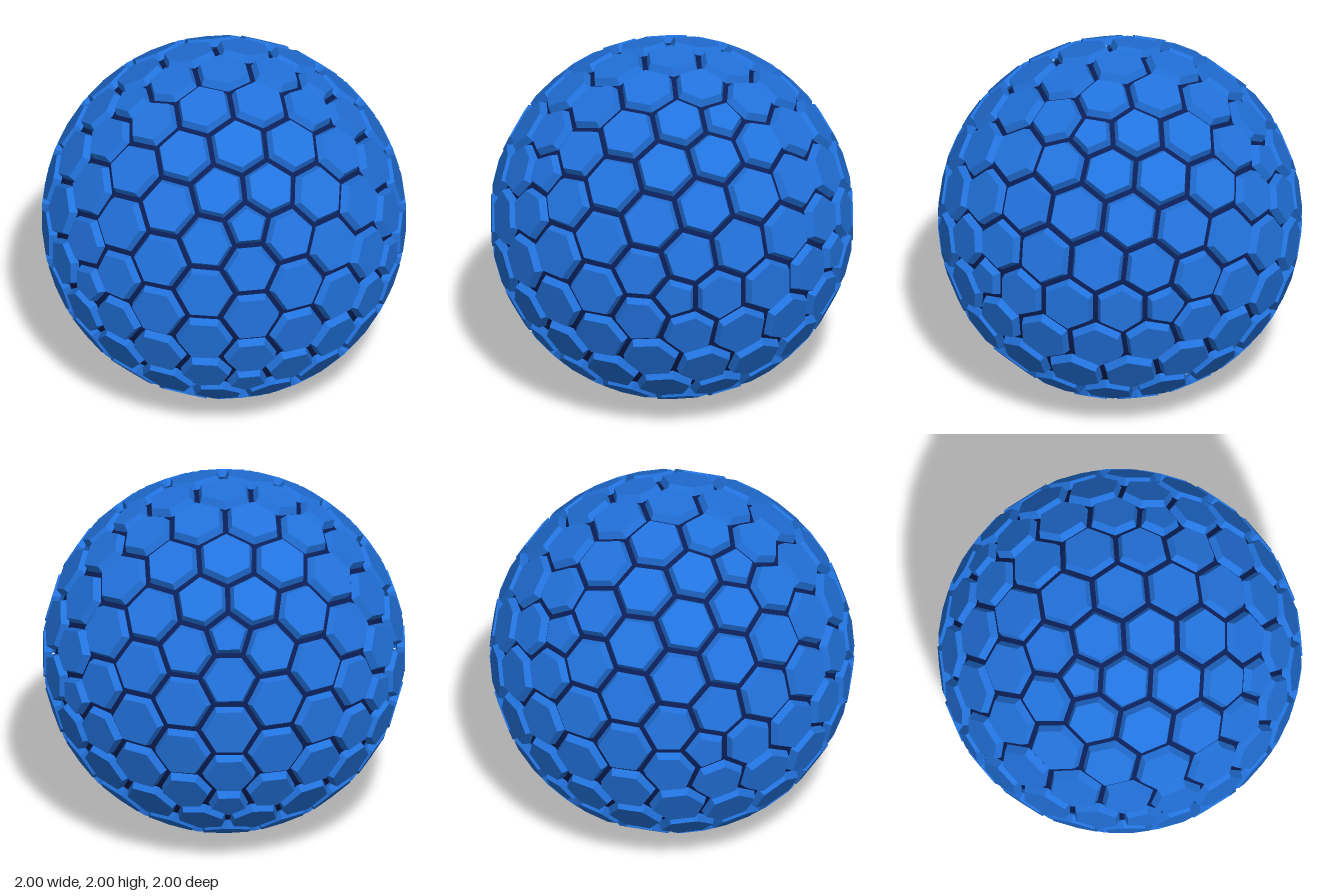
import * as THREE from 'three';

const FREQUENCY = 4;      // cells along each icosahedron edge
const CORNER_RADIUS = 1.014;
const THICKNESS = 0.045;
const GAP = 0.014;        // inset of the plate's foot
const BEVEL = 0.034;      // inset of the plate's flat face

// Gather, for every vertex of a subdivided icosahedron, the centres of its triangles
function findCells() {
  const pos = new THREE.IcosahedronGeometry(1, FREQUENCY - 1).attributes.position;
  const cells = new Map();
  for (let i = 0; i < pos.count; i += 3) {
    const tri = [0, 1, 2].map(k => new THREE.Vector3().fromBufferAttribute(pos, i + k));
    const corner = new THREE.Vector3().add(tri[0]).add(tri[1]).add(tri[2]).normalize();
    for (const v of tri) {
      const key = v.toArray().map(n => Math.round(n * 1000) + 0).join();
      if (!cells.has(key)) cells.set(key, { normal: v.clone().normalize(), corners: [] });
      cells.get(key).corners.push(corner);
    }
  }
  return [...cells.values()];
}

// Sort the corners counter-clockwise as seen from outside
function sortCorners({ normal, corners }) {
  const u = corners[0].clone().projectOnPlane(normal).normalize();
  const v = normal.clone().cross(u);
  const angle = c => Math.atan2(c.dot(v), c.dot(u));
  return [...corners].sort((a, b) => angle(a) - angle(b));
}

// Outline of a cell on the plane at the given height, drawn in by an inset
function outline(normal, corners, height, inset) {
  const centre = normal.clone().multiplyScalar(height);
  const ring = corners.map(c => c.clone().multiplyScalar(height / c.dot(normal)));
  const apothem = ring.reduce((sum, p, i) =>
    sum + p.clone().add(ring[(i + 1) % ring.length]).multiplyScalar(0.5).distanceTo(centre), 0) / ring.length;
  return ring.map(p => p.lerp(centre, inset / apothem));
}

// One bevelled plate: flat face, sloping sides and underside
function addPlate(cell, out) {
  const corners = sortCorners(cell);
  const n = corners.length;
  const top = CORNER_RADIUS * corners.reduce((s, c) => s + c.dot(cell.normal), 0) / n;
  const face = outline(cell.normal, corners, top, BEVEL);
  const foot = outline(cell.normal, corners, top - THICKNESS, GAP);
  const push = (...points) => points.forEach(p => out.push(p.x, p.y, p.z));
  for (let i = 0; i < n; i++) {
    const j = (i + 1) % n;
    push(foot[i], foot[j], face[j], foot[i], face[j], face[i]);
    if (i > 0 && i < n - 1) {
      push(face[0], face[i], face[j]);
      push(foot[0], foot[j], foot[i]);
    }
  }
}

function plateMesh(name, cells, material) {
  const points = [];
  cells.forEach(cell => addPlate(cell, points));
  const geometry = new THREE.BufferGeometry();
  geometry.setAttribute('position', new THREE.Float32BufferAttribute(points, 3));
  geometry.computeVertexNormals();
  const mesh = new THREE.Mesh(geometry, material);
  mesh.name = name;
  mesh.position.y = 1;
  return mesh;
}

export function createModel() {
  const plateBlue = new THREE.MeshStandardMaterial({ color: 0x2273de });
  plateBlue.name = 'plateBlue';
  const coreNavy = new THREE.MeshStandardMaterial({ color: 0x0b1f58 });
  coreNavy.name = 'coreNavy';

  const group = new THREE.Group();
  group.name = 'panelledBall';

  // Plates
  const cells = findCells();
  group.add(plateMesh('hexagonPlates', cells.filter(c => c.corners.length === 6), plateBlue));
  group.add(plateMesh('pentagonPlates', cells.filter(c => c.corners.length === 5), plateBlue));

  // Dark core seen through the gaps
  const core = new THREE.Mesh(new THREE.SphereGeometry(0.932, 64, 48), coreNavy);
  core.name = 'core';
  core.position.y = 1;
  group.add(core);
  return group;
}
